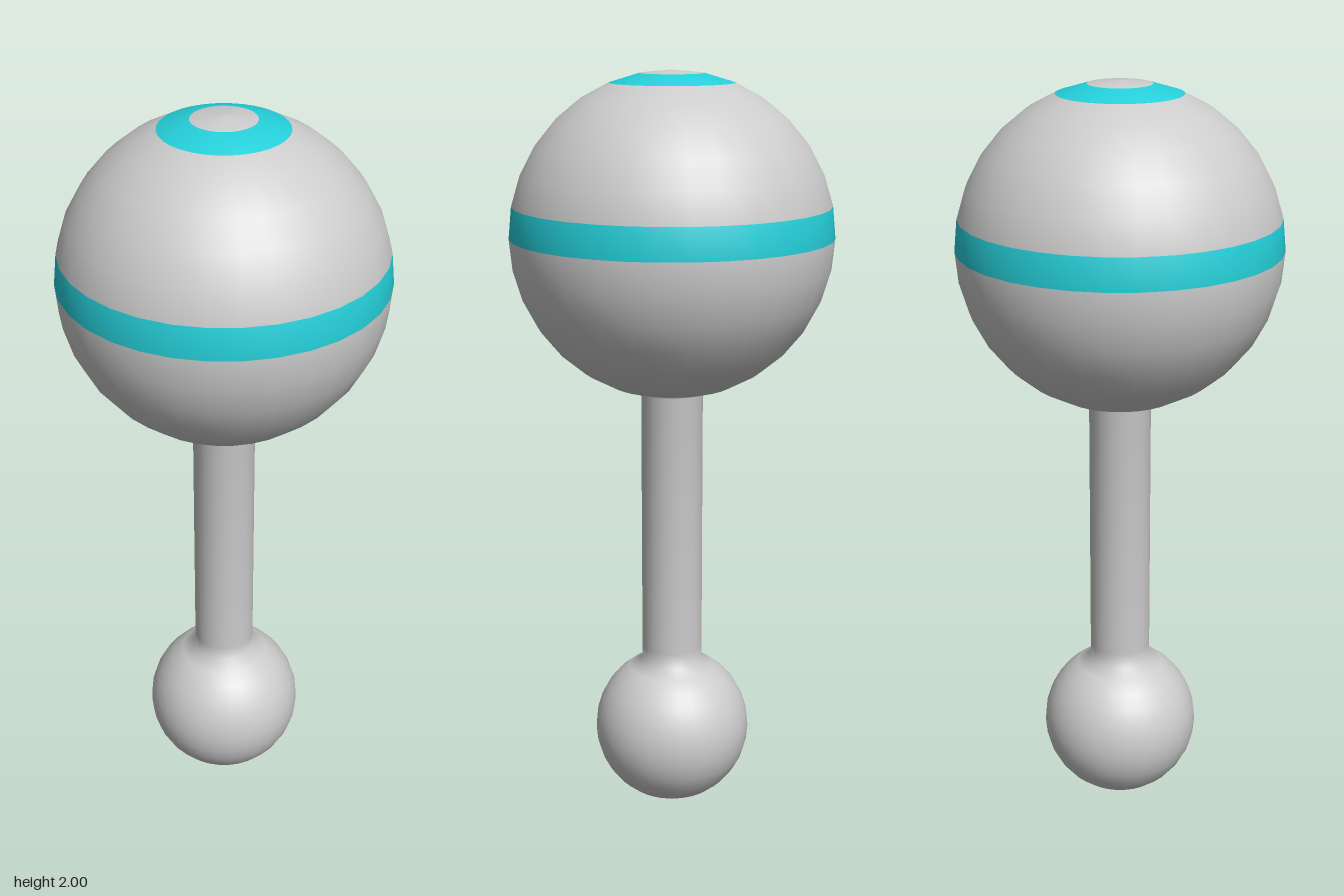
import * as THREE from 'three';

const SIDES = 32;
const RINGS = 16;

export function createModel() {
  const grey = new THREE.MeshStandardMaterial({ color: 0xcccccc });
  grey.name = 'light grey';
  const cyan = new THREE.MeshStandardMaterial({ color: 0x25d0da });
  cyan.name = 'cyan';

  // One continuous profile from the bottom pole to the top pole
  const profile = [];
  const addArc = (radius, centreY, first, last) => {
    for (let i = first; i <= last; i++) {
      const a = (i * Math.PI) / RINGS;
      const x = i === 0 || i === RINGS ? 0 : radius * Math.sin(a);
      profile.push(new THREE.Vector2(x, centreY - radius * Math.cos(a)));
    }
  };
  addArc(0.212, 0.212, 0, RINGS - 2); // small ball, open at the neck
  const rodStart = profile.length - 1;
  profile.push(new THREE.Vector2(0.082, 0.45)); // collar ring
  const headStart = profile.length;
  addArc(0.42, 1.58, 1, RINGS); // large ball, open at the neck
  const end = profile.length - 1;
  const lathe = new THREE.LatheGeometry(profile, SIDES);

  // Each part takes a range of rings, sharing the smooth normals of the whole
  const group = new THREE.Group();
  const addPart = (name, from, to, material) => {
    const index = [];
    for (let i = 0; i < SIDES; i++) {
      for (let j = from; j < to; j++) {
        const a = i * profile.length + j;
        const b = a + profile.length;
        index.push(a, b, a + 1, b + 1, a + 1, b);
      }
    }
    const geometry = lathe.clone();
    geometry.setIndex(index);
    const mesh = new THREE.Mesh(geometry, material);
    mesh.name = name;
    group.add(mesh);
  };

  const equator = headStart + RINGS / 2 - 1;
  addPart('smallBall', 0, rodStart, grey);
  addPart('rod', rodStart, headStart, grey);
  addPart('headLower', headStart, equator, grey);
  addPart('equatorBand', equator, equator + 1, cyan);
  addPart('headUpper', equator + 1, end - 2, grey);
  addPart('topRing', end - 2, end - 1, cyan);
  addPart('topCap', end - 1, end, grey);
  return group;
}
